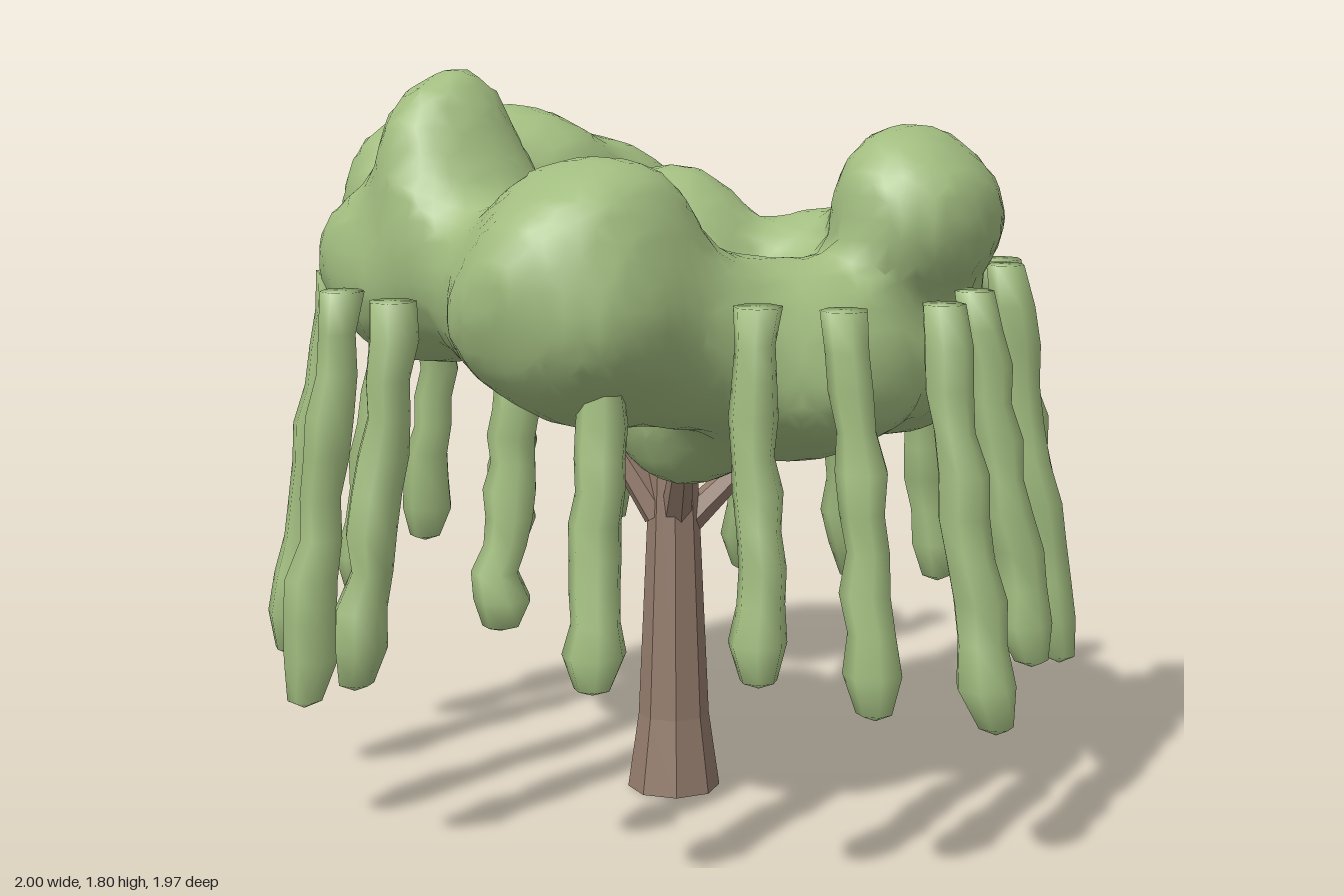
import * as THREE from 'three';
import { mergeVertices } from 'three/addons/utils/BufferGeometryUtils.js';

const leafGreen = new THREE.MeshStandardMaterial({ color: 0xa2bd80 });
leafGreen.name = 'leafGreen';
const barkBrown = new THREE.MeshStandardMaterial({ color: 0x947c6d });
barkBrown.name = 'barkBrown';

// Small seeded random generator
let seed = 11;
const rand = () => (seed = (seed * 16807) % 2147483647) / 2147483647;

// Leaf clumps: centre x, y, z and radii x, y, z
const CLUMPS = [
  [0.2, 1.32, 0.59, 0.29, 0.28, 0.31],    // front
  [0.27, 1.42, 0.6, 0.2, 0.22, 0.21],
  [-0.06, 1.3, 0.54, 0.24, 0.19, 0.18],
  [-0.42, 1.32, 0.47, 0.29, 0.21, 0.22],
  [-0.3, 1.53, 0.5, 0.15, 0.27, 0.19],    // peak
  [-0.31, 1.41, 0.49, 0.22, 0.24, 0.21],
  [-0.7, 1.43, 0.18, 0.21, 0.23, 0.25],   // right side
  [-0.68, 1.39, -0.13, 0.24, 0.28, 0.29],
  [-0.67, 1.29, -0.37, 0.25, 0.28, 0.27],
  [-0.05, 1.32, 0.0, 0.22, 0.24, 0.23],   // middle
  [0.06, 1.06, 0.05, 0.28, 0.26, 0.22],
  [0.41, 1.14, 0.1, 0.28, 0.23, 0.28],    // left side
  [0.34, 1.22, 0.34, 0.18, 0.2, 0.24],
  [0.53, 1.46, -0.2, 0.2, 0.22, 0.22],
  [0.42, 1.16, -0.24, 0.25, 0.24, 0.25],
  [0.18, 1.14, -0.45, 0.24, 0.24, 0.23],  // back
  [0.2, 1.24, -0.24, 0.23, 0.2, 0.22],
];

// Soft union of all clumps with gentle bumps: below zero inside the canopy
function field(x, y, z) {
  const k = 0.03;
  let sum = 1e-9;
  for (const [cx, cy, cz, a, b, c] of CLUMPS) {
    const d = (Math.hypot((x - cx) / a, (y - cy) / b, (z - cz) / c) - 1) * Math.min(a, b, c);
    sum += Math.exp(-d / k);
  }
  const bump = 0.012 * Math.sin(x * 15 + 1) * Math.sin(y * 14) + 0.008 * Math.sin(z * 17 + x * 9);
  return bump - k * Math.log(sum);
}

// One skin around the canopy: a point in every grid cell the surface crosses,
// and a quad around every grid edge it crosses
function canopyGeometry() {
  const step = 0.05;
  const low = [-1.05, 0.7, -0.85];
  const [nx, ny, nz] = [40, 26, 40];
  const stride = [1, nx, nx * ny];
  const value = [];
  const at = (i) => [i % nx, Math.floor(i / nx) % ny, Math.floor(i / (nx * ny))];
  for (let i = 0; i < nx * ny * nz; i++) {
    value.push(field(...at(i).map((n, axis) => low[axis] + n * step)));
  }

  const positions = [];
  const cellPoint = new Map();
  const pointOf = (cell) => {
    if (cellPoint.has(cell)) return cellPoint.get(cell);
    const sum = [0, 0, 0];
    let count = 0;
    for (let corner = 0; corner < 8; corner++) {
      const offset = [corner & 1, (corner >> 1) & 1, corner >> 2];
      const a = cell + offset.reduce((s, o, axis) => s + o * stride[axis], 0);
      for (let axis = 0; axis < 3; axis++) {
        const b = a + stride[axis];
        if (offset[axis] || value[a] < 0 === value[b] < 0) continue;
        const t = value[a] / (value[a] - value[b]);
        offset.forEach((o, j) => { sum[j] += o + (j === axis ? t : 0); });
        count++;
      }
    }
    at(cell).forEach((n, j) => positions.push(low[j] + (n + sum[j] / count) * step));
    cellPoint.set(cell, positions.length / 3 - 1);
    return cellPoint.get(cell);
  };

  const index = [];
  for (let i = 0; i < value.length; i++) {
    const [x, y, z] = at(i);
    if (!x || !y || !z || x === nx - 1 || y === ny - 1 || z === nz - 1) continue;
    for (let axis = 0; axis < 3; axis++) {
      const inside = value[i] < 0;
      if (inside === value[i + stride[axis]] < 0) continue;
      const u = stride[(axis + 1) % 3];
      const v = stride[(axis + 2) % 3];
      const [a, b, c, d] = [i - u - v, i - v, i, i - u].map(pointOf);
      index.push(...(inside ? [a, b, c, a, c, d] : [a, c, b, a, d, c]));
    }
  }
  const geo = new THREE.BufferGeometry();
  geo.setAttribute('position', new THREE.Float32BufferAttribute(positions, 3));
  geo.setIndex(index);
  geo.computeVertexNormals();
  return geo;
}

// Hanging strands: top x, z, bottom x, z, top y, bottom y
const STRANDS = [
  [-0.45, -0.73, -0.53, -0.87, 1.3, 0.32],
  [-0.18, -0.77, -0.21, -0.94, 1.31, 0.33],
  [0.1, -0.75, 0.12, -0.88, 1.31, 0.4],
  [0.43, -0.7, 0.51, -0.81, 1.31, 0.49],
  [0.56, -0.54, 0.68, -0.63, 1.32, 0.32],
  [0.7, -0.22, 0.83, -0.28, 1.3, 0.41],
  [0.78, 0.02, 0.94, 0.03, 1.3, 0.33],
  [0.68, 0.25, 0.81, 0.29, 1.3, 0.4],
  [0.58, 0.44, 0.68, 0.53, 1.32, 0.5],
  [0.34, 0.66, 0.41, 0.79, 1.2, 0.49],
  [0.12, 0.7, 0.14, 0.81, 1.2, 0.59],
  [-0.18, 0.8, -0.2, 0.93, 1.3, 0.41],
  [-0.4, 0.76, -0.46, 0.85, 1.3, 0.31],
  [-0.7, 0.5, -0.79, 0.61, 1.3, 0.33],
  [-0.8, 0.21, -0.94, 0.25, 1.3, 0.4],
  [-0.86, 0.0, -0.94, 0.0, 1.28, 0.5],
  [-0.76, -0.2, -0.87, -0.24, 1.2, 0.45],
  [-0.62, -0.42, -0.71, -0.48, 1.2, 0.51],
];

// A knobbly strand with a swollen foot and a blunt point
function strandGeometry([x0, z0, x1, z1, yTop, yBot]) {
  const steps = 10;
  const rings = [];
  const profile = [new THREE.Vector2(0, 0)];
  for (let i = 0; i <= steps; i++) {
    const t = i / steps;
    const bulb = i === 1 ? 0.01 : 0;
    const r = i === 0 ? 0.042 : 0.051 + 0.009 * (1 - t) + bulb + (rand() - 0.5) * 0.016;
    profile.push(new THREE.Vector2(r, 0.02 + t * 0.98));
    rings.push([(rand() - 0.5) * 0.022, (rand() - 0.5) * 0.022]);
  }
  profile.push(new THREE.Vector2(0, 1));
  const geo = new THREE.LatheGeometry(profile, 7, rand() * 6);
  const p = geo.attributes.position;
  for (let i = 0; i < p.count; i++) {
    const t = p.getY(i);
    const [wx, wz] = rings[Math.min(steps, Math.max(0, Math.round((t - 0.02) / 0.098)))];
    p.setXYZ(i,
      p.getX(i) + x1 + (x0 - x1) * t + wx,
      yBot + (yTop - yBot) * t,
      p.getZ(i) + z1 + (z0 - z1) * t + wz);
  }
  geo.deleteAttribute('uv');
  geo.deleteAttribute('normal');
  const welded = mergeVertices(geo, 1e-4);
  welded.computeVertexNormals();
  return welded;
}

// A bark mesh with flat facets
function barkMesh(name, geo) {
  const flat = geo.toNonIndexed();
  flat.computeVertexNormals();
  const mesh = new THREE.Mesh(flat, barkBrown);
  mesh.name = name;
  return mesh;
}

// A tapered branch piece between two points
function limb(name, from, to, r0, r1) {
  const a = new THREE.Vector3(...from);
  const b = new THREE.Vector3(...to);
  const dir = b.clone().sub(a);
  const mesh = barkMesh(name, new THREE.CylinderGeometry(r1, r0, dir.length(), 6));
  mesh.position.copy(a).add(b).multiplyScalar(0.5);
  mesh.quaternion.setFromUnitVectors(new THREE.Vector3(0, 1, 0), dir.normalize());
  return mesh;
}

export function createModel() {
  seed = 11;
  const tree = new THREE.Group();
  tree.name = 'tree';

  // Trunk with a flared foot
  const outline = [[0, 0], [0.115, 0], [0.088, 0.19], [0.058, 0.85], [0.04, 0.95], [0, 0.95]];
  const trunk = barkMesh('trunk', new THREE.LatheGeometry(outline.map((p) => new THREE.Vector2(...p)), 8));
  trunk.position.x = -0.047;
  tree.add(trunk);

  // Branches, each a thick start and a thin tip
  const paths = [
    [[-0.06, 0.7, -0.02], [-0.22, 0.95, -0.22], [-0.46, 1.12, -0.47]],
    [[-0.07, 0.7, 0.03], [-0.2, 0.93, 0.1], [-0.42, 1.12, 0.27]],
    [[-0.03, 0.7, 0.01], [0.07, 0.87, 0.1], [0.18, 1.1, 0.33]],
    [[-0.03, 0.68, -0.03], [0.06, 0.83, -0.17], [0.16, 1.05, -0.36]],
  ];
  for (const [a, b, c] of paths) {
    tree.add(limb('branchBase', a, b, 0.04, 0.027), limb('branchTip', b, c, 0.027, 0.016));
  }

  // Canopy and the strands hanging around it
  const addLeaves = (name, geo) => {
    const mesh = new THREE.Mesh(geo, leafGreen);
    mesh.name = name;
    tree.add(mesh);
  };
  addLeaves('canopy', canopyGeometry());
  STRANDS.forEach((s) => addLeaves('hangingStrand', strandGeometry(s)));
  return tree;
}
